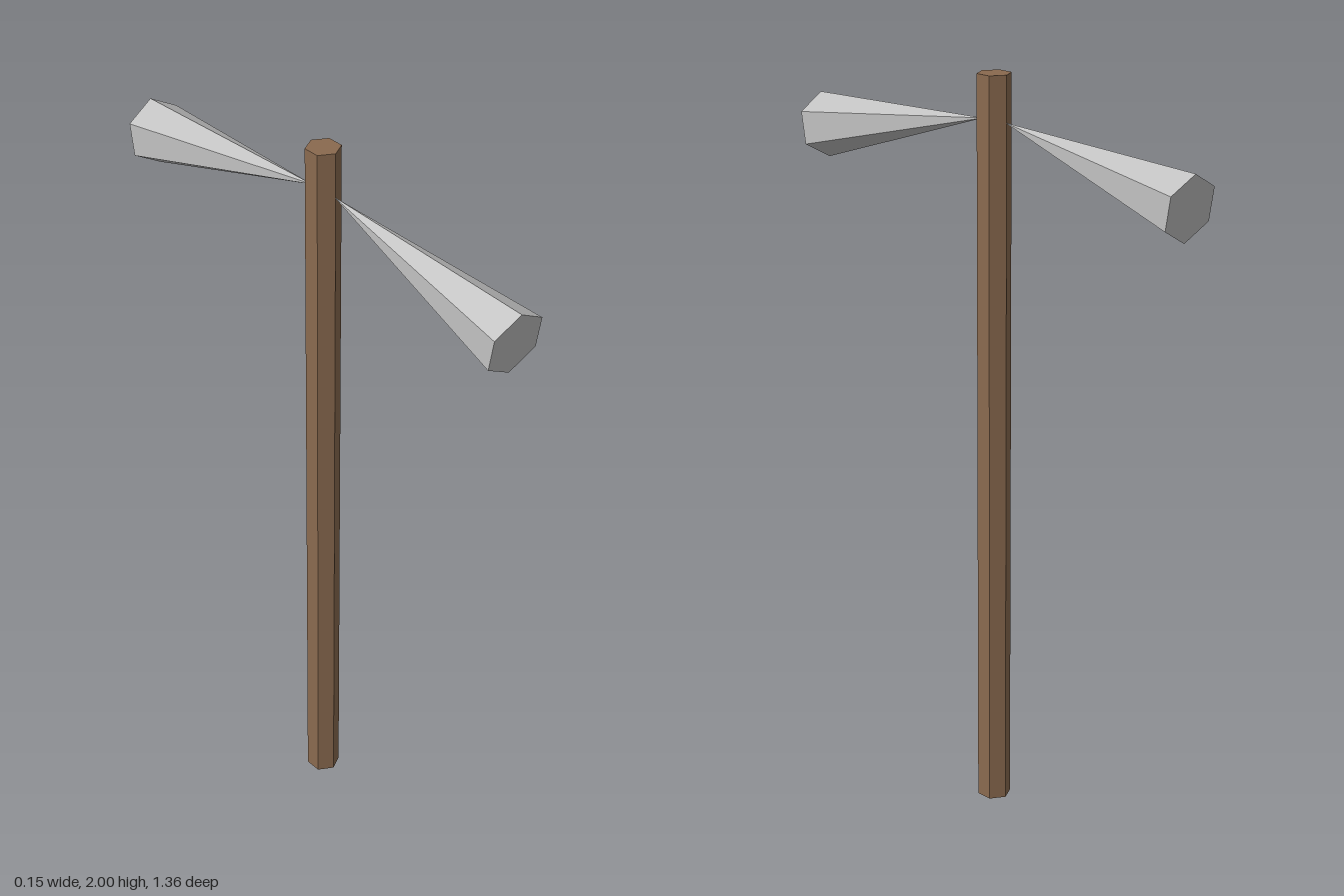
import * as THREE from 'three';

export function createModel() {
  const model = new THREE.Group();
  const wood = new THREE.MeshStandardMaterial({ name: 'brown wood', color: 0x8a6a4f, flatShading: true });
  const metal = new THREE.MeshStandardMaterial({ name: 'light grey', color: 0xc0c0c0, flatShading: true });

  // Hexagonal post
  const post = new THREE.Mesh(new THREE.CylinderGeometry(0.045, 0.045, 2, 6), wood);
  post.name = 'post';
  post.position.y = 1;
  model.add(post);

  // Two drooping six-sided cones, tips touching the post
  const length = 0.633;
  const droop = THREE.MathUtils.degToRad(10);
  const coneShape = new THREE.ConeGeometry(0.088, length, 6);
  coneShape.translate(0, -length / 2, 0); // tip at the origin
  coneShape.rotateX(droop - Math.PI / 2);
  for (const [name, turn] of [['frontCone', 0], ['backCone', Math.PI]]) {
    const arm = new THREE.Group();
    arm.name = name;
    arm.rotation.y = turn;
    const cone = new THREE.Mesh(coneShape, metal);
    cone.name = name + 'Body';
    cone.position.set(0, 1.88, 0.04);
    arm.add(cone);
    model.add(arm);
  }
  return model;
}
